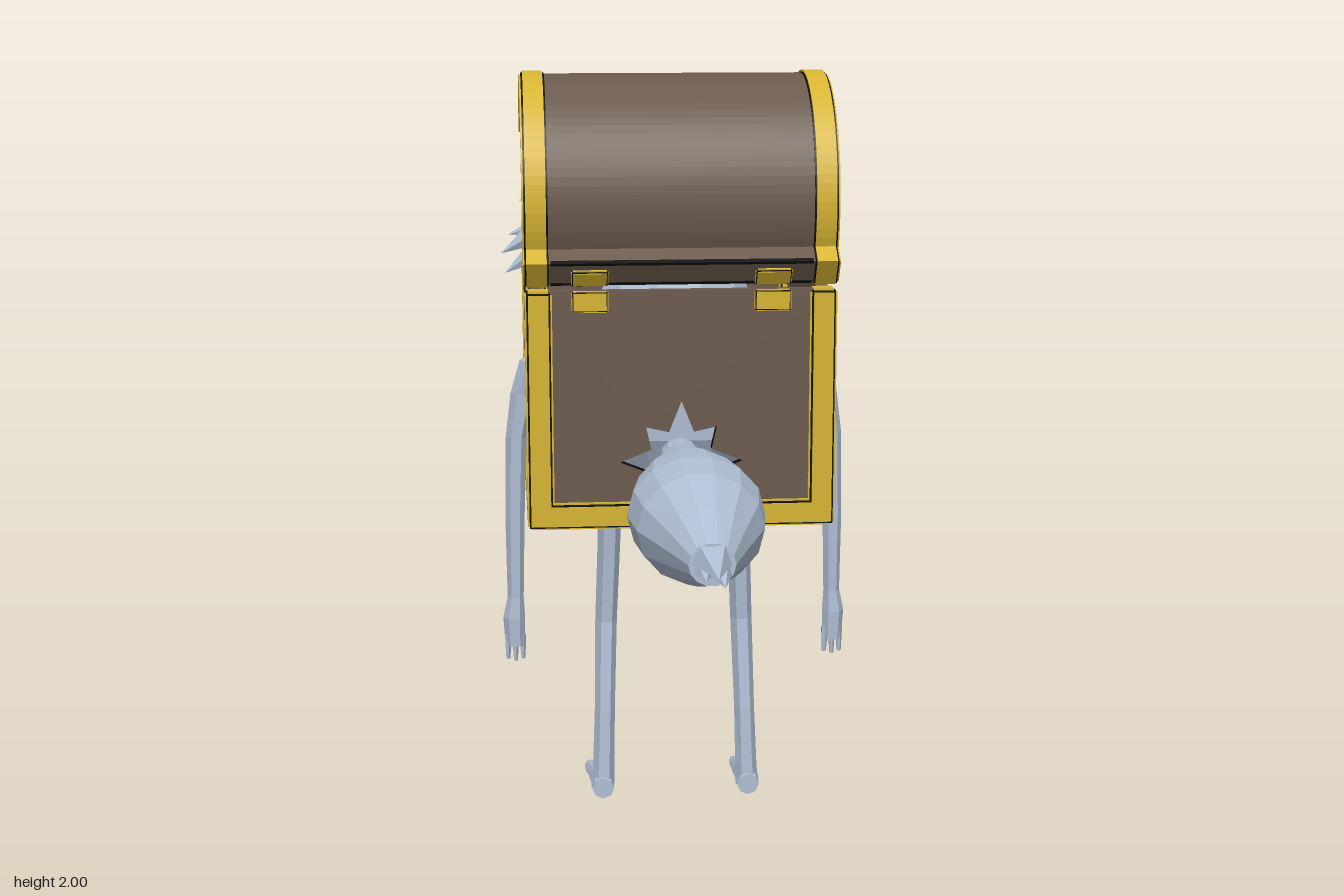
import * as THREE from 'three';
import { mergeGeometries } from 'three/addons/utils/BufferGeometryUtils.js';

const mat = (name, color) => Object.assign(new THREE.MeshStandardMaterial({ color }), { name });

export function createModel() {
  const wood = mat('brown wood', 0x6b5a4d);
  const gold = mat('gold trim', 0xd6b432);
  const black = mat('black edges', 0x0b0b0b);
  const fur = mat('blue grey fur', 0xb0bfd4);
  const root = new THREE.Group();
  root.name = 'walkingChest';

  const add = (name, geo, material, parent = root) => {
    const m = new THREE.Mesh(geo, material);
    m.name = name;
    parent.add(m);
    return m;
  };
  const box = (w, h, d, x, y, z) => new THREE.BoxGeometry(w, h, d).translate(x, y, z);

  // Gold block whose chamfered edges show black
  const trimBox = (name, w, h, d, x, y, z, parent = root, b = 0.009) => {
    add(name, mergeGeometries([
      box(w, h - 2 * b, d - 2 * b, x, y, z),
      box(w - 2 * b, h, d - 2 * b, x, y, z),
      box(w - 2 * b, h - 2 * b, d, x, y, z),
    ]), gold, parent);
    add(name + 'Edges', box(w - b, h - b, d - b, x, y, z), black, parent);
  };

  // Faceted skin over horizontal rings [x, y, z, rx, rz], listed from low y to high y
  const loft = (sections, n = 6) => {
    const pos = [], idx = [];
    for (const [x, y, z, rx, rz] of sections)
      for (let j = 0; j < n; j++) {
        const a = (j / n) * Math.PI * 2;
        pos.push(x + rx * Math.cos(a), y, z + rz * Math.sin(a));
      }
    const last = sections.length - 1, c0 = pos.length / 3;
    pos.push(...sections[0].slice(0, 3), ...sections[last].slice(0, 3));
    for (let j = 0; j < n; j++) {
      const k = (j + 1) % n;
      for (let i = 0; i < last; i++) {
        const a = i * n, b = a + n;
        idx.push(a + j, b + j, b + k, a + j, b + k, a + k);
      }
      idx.push(c0, j, k, c0 + 1, last * n + k, last * n + j);
    }
    const g = new THREE.BufferGeometry();
    g.setAttribute('position', new THREE.Float32BufferAttribute(pos, 3));
    g.setIndex(idx);
    const flat = g.toNonIndexed();
    flat.computeVertexNormals();
    return flat;
  };

  // Pointed tuft from a base point to a tip
  const spike = (from, to, r, flat = 0.5) => {
    const a = new THREE.Vector3(...from), b = new THREE.Vector3(...to);
    const dir = b.clone().sub(a), len = dir.length();
    const g = new THREE.ConeGeometry(r, len, 5).toNonIndexed();
    g.scale(1, 1, flat).translate(0, len / 2, 0);
    g.computeVertexNormals();
    const q = new THREE.Quaternion().setFromUnitVectors(new THREE.Vector3(0, 1, 0), dir.normalize());
    return g.applyQuaternion(q).translate(...from);
  };

  // Chest walls, with torn holes for the arms and the tail
  const T = 0.03, Y0 = 0.845, Y1 = 1.456;
  const wall = (u0, u1, hole) => {
    const s = new THREE.Shape([[u0, Y0], [u1, Y0], [u1, Y1], [u0, Y1]].map(p => new THREE.Vector2(...p)));
    if (hole) s.holes.push(new THREE.Path(hole.map(p => new THREE.Vector2(...p))));
    return new THREE.ExtrudeGeometry(s, { depth: T, bevelEnabled: false });
  };
  const armHole = [[0.347, 1.34], [0.34, 1.25], [0.263, 1.24], [0.32, 1.17], [0.326, 1.10], [0.4, 1.14],
    [0.5, 1.12], [0.58, 1.087], [0.55, 1.15], [0.595, 1.215], [0.53, 1.2], [0.495, 1.294], [0.463, 1.25], [0.4, 1.3]];
  const tailHole = Array.from({ length: 16 }, (_, i) => {
    const a = (i / 16) * Math.PI * 2, r = i % 2 ? 0.085 : i % 4 ? 0.13 : 0.16;
    return [r * Math.cos(a), 1.01 + r * Math.sin(a)];
  });
  for (const s of [-1, 1])
    add('sideWall', wall(0.15, 0.855, armHole).rotateY(Math.PI / 2)
      .translate(s > 0 ? 0.386 - T : -0.386, 0, 0), [wood, black]);
  add('hingeWall', wall(-0.385, 0.385, tailHole).translate(0, 0, -0.152 - T), [wood, black]);
  add('lockWall', wall(-0.385, 0.385).translate(0, 0, -0.853), [wood, black]);
  add('chestFloor', box(0.76, 0.03, 0.69, 0, 0.862, -0.5), wood);
  add('chestRim', mergeGeometries([-1, 1].flatMap(s => [
    box(T, 0.006, 0.68, s * 0.371, 1.457, -0.502),
    box(0.74, 0.006, T, 0, 1.457, -0.5025 + s * 0.3355),
  ])), wood);

  // Gold frame on the corners and the lower edges
  for (const s of [-1, 1]) {
    const z = -0.502 + s * 0.332;
    for (const x of [-0.367, 0.367]) trimBox('cornerPost', 0.07, 0.625, 0.07, x, 1.148, z);
    trimBox('lowerRail', 0.8, 0.07, 0.07, 0, 0.87, z);
    trimBox('lowerSideRail', 0.07, 0.07, 0.73, s * 0.367, 0.87, -0.502);
  }

  // Lock plate with keyhole
  trimBox('lockPlate', 0.18, 0.21, 0.045, 0, 1.362, -0.8575);
  const key = new THREE.Shape([[-0.028, -0.06], [0.028, -0.06], [0.01, 0.02], [-0.01, 0.02]]
    .map(p => new THREE.Vector2(...p)));
  add('keyhole', mergeGeometries([new THREE.ShapeGeometry(key), new THREE.CircleGeometry(0.026, 12).translate(0, 0.025, 0)])
    .rotateY(Math.PI).translate(0, 1.37, -0.882), black);

  // Lid, tilted open about the hinge edge
  const lid = new THREE.Group();
  lid.name = 'lid';
  lid.position.set(0, 1.678, -0.4475);
  lid.rotation.x = THREE.MathUtils.degToRad(34);
  root.add(lid);
  const arch = (R, r, half, h, w, x) => {
    const a = Math.asin(h / R), e = R * Math.cos(a), s = new THREE.Shape();
    s.moveTo(half, 0).lineTo(half, h).lineTo(e, h);
    s.absarc(0, 0, R, a, Math.PI - a, false);
    s.lineTo(-half, h).lineTo(-half, 0).lineTo(-r, 0);
    s.absarc(0, 0, r, Math.PI, 0, true);
    return new THREE.ExtrudeGeometry(s, { depth: w, bevelEnabled: false, curveSegments: 18 })
      .rotateY(Math.PI / 2).translate(x - w / 2, 0, 0);
  };
  add('lidShell', arch(0.314, 0.29, 0.36, 0.073, 0.7, 0), wood, lid);
  const b = 0.009;
  for (const s of [-1, 1]) {
    const x = s * 0.37;
    add('lidBand', mergeGeometries([
      arch(0.321 - b, 0.25 + b, 0.368 - b, 0.079 - b, 0.07, x),
      arch(0.321, 0.25, 0.368, 0.079, 0.07 - 2 * b, x),
    ]), gold, lid);
    add('lidBandEdges', arch(0.321 - b / 2, 0.25 + b / 2 - 0.008, 0.368 - b / 2, 0.079 - b / 2, 0.07 - b, x), black, lid);
    const half = new THREE.Shape().absarc(0, 0, 0.28, 0, Math.PI, false);
    add('lidEnd', new THREE.ExtrudeGeometry(half, { depth: 0.02, bevelEnabled: false, curveSegments: 18 })
      .rotateY(Math.PI / 2).translate(x - 0.01, 0, 0), wood, lid);
    // Dark seams along the lid lips
    add('lidLipSeam', mergeGeometries([box(0.67, 0.008, 0.012, 0, 0.07, s * 0.356),
      box(0.67, 0.008, 0.012, 0, 0.004, s * 0.356)]), black, lid);
    // Hinges
    trimBox('hingeLower', 0.095, 0.055, 0.02, s * 0.235, 1.433, -0.147, root, 0.005);
    trimBox('hingeUpper', 0.095, 0.05, 0.02, s * 0.235, 0.025, 0.36, lid, 0.005);
  }
  trimBox('lidLatch', 0.18, 0.085, 0.05, 0, 0.04, -0.36, lid);

  // Body, neck and head
  add('body', loft([[0, 0.9, -0.47, 0.2, 0.18], [0, 1.05, -0.45, 0.3, 0.24], [0, 1.25, -0.44, 0.31, 0.24],
    [0, 1.42, -0.37, 0.2, 0.15], [0, 1.55, -0.39, 0.14, 0.13], [0, 1.64, -0.44, 0.11, 0.1]], 10), fur);
  const blob = (rx, ry, rz, x, y, z) => {
    const g = new THREE.IcosahedronGeometry(1, 1).scale(rx, ry, rz).translate(x, y, z);
    g.computeVertexNormals();
    return g;
  };
  add('head', blob(0.32, 0.17, 0.17, 0, 1.635, -0.56), fur);
  add('muzzle', blob(0.12, 0.08, 0.08, 0, 1.56, -0.66), fur);
  add('mouth', blob(0.09, 0.025, 0.06, 0, 1.475, -0.635), black);
  for (const s of [-1, 1])
    add('cheekFur', mergeGeometries([
      [[0.22, 1.66, -0.56], [0.41, 1.645, -0.6], 0.07],
      [[0.22, 1.64, -0.58], [0.46, 1.5, -0.6], 0.09],
      [[0.22, 1.6, -0.6], [0.45, 1.44, -0.64], 0.09],
      [[0.22, 1.6, -0.63], [0.44, 1.54, -0.69], 0.08],
      [[0.2, 1.58, -0.62], [0.36, 1.42, -0.668], 0.09],
    ].map(([p, q, r]) => spike([p[0] * s, p[1], p[2]], [q[0] * s, q[1], q[2]], r, 0.7))), fur);

  for (const s of [-1, 1]) {
    // Arm and fingers
    add('arm', loft([[0.44, 0.44, -0.413, 0.027, 0.026], [0.442, 0.52, -0.412, 0.03, 0.03], [0.437, 0.58, -0.41, 0.022, 0.024],
      [0.435, 0.8, -0.405, 0.026, 0.027], [0.428, 1.03, -0.4, 0.028, 0.03], [0.408, 1.15, -0.4, 0.033, 0.036],
      [0.37, 1.24, -0.4, 0.045, 0.05], [0.27, 1.31, -0.39, 0.04, 0.05]].map(p => [p[0] * s, ...p.slice(1)])), fur);
    add('fingers', mergeGeometries([-1, 0, 1].map(i => loft([
      [s * (0.44 + i * 0.021), 0.395 + Math.abs(i) * 0.006, -0.413, 0.006, 0.009],
      [s * (0.44 + i * 0.019), 0.47, -0.413, 0.011, 0.016]], 5))), fur);
    // Leg, foot and toes
    add('leg', loft([[0.203, 0.02, -0.395, 0.032, 0.035], [0.2, 0.08, -0.395, 0.03, 0.032], [0.195, 0.25, -0.405, 0.028, 0.034],
      [0.188, 0.5, -0.437, 0.03, 0.038], [0.18, 0.7, -0.425, 0.031, 0.042], [0.175, 0.88, -0.41, 0.034, 0.045]]
      .map(p => [p[0] * s, ...p.slice(1)])), fur);
    // rings run along -z: local y is -z, local z is y
    add('foot', loft([[0.203, 0.36, 0.03, 0.03, 0.03], [0.203, 0.42, 0.036, 0.034, 0.036], [0.206, 0.5, 0.026, 0.036, 0.026],
      [0.21, 0.57, 0.02, 0.037, 0.02]].map(p => [p[0] * s, ...p.slice(1)]), 8).rotateX(-Math.PI / 2)
      .scale(1, -1, 1).rotateZ(Math.PI).scale(-1, 1, 1), fur);
    add('toes', mergeGeometries([-1, 0, 1].map(i =>
      blob(0.013, 0.016, 0.045, s * (0.209 + i * 0.024), 0.016, -0.578 + Math.abs(i) * 0.008))), fur);
  }

  // Bushy tail with a split tip
  add('tail', loft([[0, -0.3, 1.01, 0.045, 0.045], [0, -0.14, 1.01, 0.056, 0.05], [0, 0, 0.997, 0.095, 0.087],
    [0, 0.13, 0.985, 0.142, 0.124], [0, 0.29, 0.98, 0.168, 0.145], [0, 0.43, 0.978, 0.152, 0.137],
    [0, 0.58, 0.975, 0.1, 0.095], [0, 0.72, 0.972, 0.054, 0.05]].map(([x, y, z, a, c]) => [x, y, -z, a, c]), 14)
    .rotateX(Math.PI / 2), fur);
  add('tailTip', mergeGeometries([
    spike([0, 0.985, 0.69], [0, 0.982, 0.88], 0.056, 0.8),
    spike([0.02, 0.96, 0.68], [0.02, 0.945, 0.82], 0.036, 0.9),
    spike([-0.02, 0.96, 0.68], [-0.02, 0.955, 0.8], 0.036, 0.9),
  ]), fur);
  return root;
}
